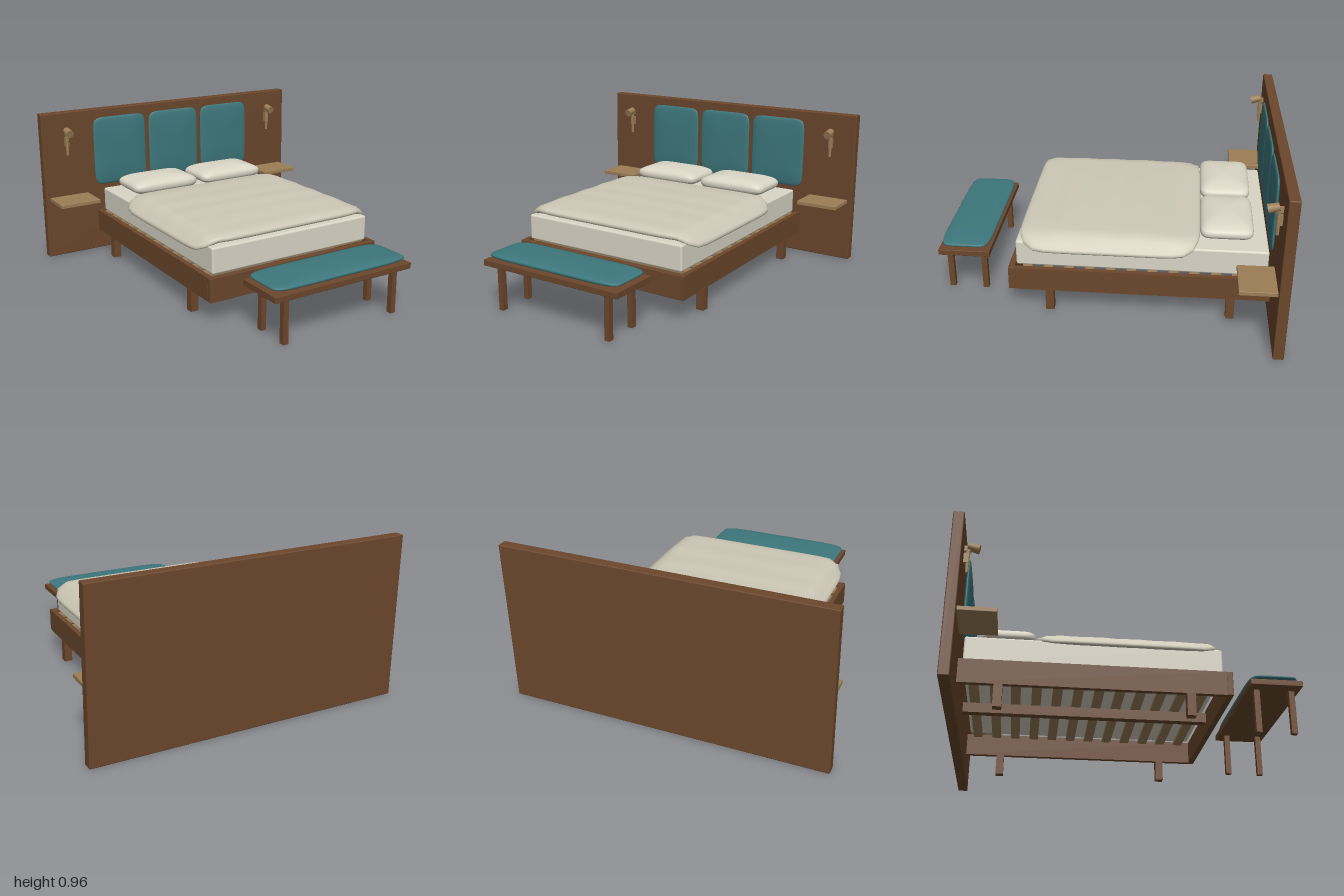
import * as THREE from 'three';
import { mergeVertices } from 'three/addons/utils/BufferGeometryUtils.js';
import { RoundedBoxGeometry } from 'three/addons/geometries/RoundedBoxGeometry.js';

const material = (name, color) => {
  const m = new THREE.MeshStandardMaterial({ color });
  m.name = name;
  return m;
};

// Soft lens-shaped pad: superellipse outline in x/z, domed along y
function padGeometry(a, b, h, corner, dome, deform) {
  const rows = 28, g = new THREE.SphereGeometry(1, 72, rows);
  g.deleteAttribute('uv');
  g.deleteAttribute('normal');
  const p = g.attributes.position;
  const v = new THREE.Vector3();
  for (let i = 0; i < p.count; i++) {
    v.fromBufferAttribute(p, i);
    const r = Math.min(1, Math.hypot(v.x, v.z));
    const t = Math.atan2(v.z, v.x), c = Math.cos(t), s = Math.sin(t);
    const R = r * Math.pow(Math.abs(c) ** corner + Math.abs(s) ** corner, -1 / corner);
    v.set(a * R * c, h * Math.sign(v.y) * Math.abs(v.y) ** dome, b * R * s);
    if (deform) deform(v);
    p.setXYZ(i, v.x, v.y, v.z);
  }
  const merged = mergeVertices(g, 1e-5);
  merged.computeVertexNormals();
  return merged;
}

export function createModel() {
  const walnut = material('walnut', 0x6b472c);
  const oak = material('oak', 0x9c7e56);
  const teal = material('teal fabric', 0x3d777c);
  const linen = material('cream linen', 0xdad6c6);
  const quilt = material('duvet linen', 0xcec9b7);

  const model = new THREE.Group();
  model.name = 'bedroomSet';
  const add = (name, geometry, mat, x, y, z, parent = model) => {
    const m = new THREE.Mesh(geometry, mat);
    m.name = name;
    m.position.set(x, y, z);
    parent.add(m);
    return m;
  };
  // Box given by its lower and upper limits on each axis
  const box = (name, mat, x0, x1, y0, y1, z0, z1, radius = 0, parent = model) => {
    const size = [x1 - x0, y1 - y0, z1 - z0];
    const g = radius ? new RoundedBoxGeometry(...size, 2, radius) : new THREE.BoxGeometry(...size);
    return add(name, g, mat, (x0 + x1) / 2, (y0 + y1) / 2, (z0 + z1) / 2, parent);
  };

  // Headboard with three upholstered panels
  box('headboard', walnut, -0.94, 0.94, 0, 0.96, -1, -0.94, 0.006);
  for (const x of [-0.405, 0, 0.405]) {
    add('headboardPanel', padGeometry(0.189, 0.228, 0.019, 9, 0.8), teal, x, 0.678, -0.925).rotation.x = Math.PI / 2;
  }

  // Bed frame
  const frame = new THREE.Group();
  frame.name = 'bedFrame';
  model.add(frame);
  box('footRail', walnut, -0.58, 0.58, 0.13, 0.27, 0.525, 0.56, 0.003, frame);
  box('centreBeam', walnut, -0.025, 0.025, 0.19, 0.25, -0.94, 0.525, 0, frame);
  for (let i = 0; i < 12; i++) {
    const z = -0.87 + i * 0.12;
    box('slat', oak, -0.55, 0.55, 0.25, 0.27, z - 0.028, z + 0.028, 0, frame);
  }
  for (const s of [-1, 1]) {
    const x = s * 0.565;
    box('sideRail', walnut, x - 0.015, x + 0.015, 0.13, 0.27, -0.94, 0.525, 0, frame);
    for (const z of [0.322, -0.72]) {
      box('bedLeg', walnut, s * 0.558 - 0.024, s * 0.558 + 0.024, 0, 0.132, z - 0.024, z + 0.024, 0, frame);
    }
  }

  // Mattress, pillows and draped duvet
  box('mattress', linen, -0.54, 0.54, 0.271, 0.426, -0.92, 0.517, 0.012);
  for (const s of [-1, 1]) {
    add('pillow', padGeometry(0.231, 0.153, 0.06, 8, 0.8), linen, s * 0.25, 0.485, -0.683);
  }
  const drape = (v) => {
    const along = THREE.MathUtils.smoothstep(Math.abs(v.x), 0.5, 0.6);
    v.y += 0.002 * Math.sin(v.z * 30) * (1 - along) - 0.052 * along;
  };
  add('duvet', padGeometry(0.597, 0.52, 0.04, 9, 0.6, drape), quilt, 0, 0.451, -0.015);

  // Floating bedside shelves and reading lamps
  for (const s of [-1, 1]) {
    box('bedsideShelf', oak, s * 0.778 - 0.132, s * 0.778 + 0.132, 0.38, 0.405, -0.94, -0.735, 0.003);
    const lamp = new THREE.Group();
    lamp.name = 'readingLamp';
    lamp.position.x = s * 0.78;
    model.add(lamp);
    add('lampStem', new THREE.CylinderGeometry(0.012, 0.009, 0.14, 12), oak, 0, 0.75, -0.918, lamp);
    box('lampMount', oak, -0.012, 0.012, 0.74, 0.8, -0.94, -0.912, 0, lamp);
    box('lampArm', oak, -0.009, 0.009, 0.815, 0.845, -0.94, -0.9, 0, lamp);
    add('lampHead', new THREE.CylinderGeometry(0.026, 0.022, 0.062, 16), oak, 0, 0.838, -0.888, lamp)
      .rotation.x = Math.PI / 2 + 0.25;
  }

  // Foot bench
  const bench = new THREE.Group();
  bench.name = 'bench';
  model.add(bench);
  box('benchTop', walnut, -0.46, 0.46, 0.26, 0.295, 0.695, 1, 0.003, bench);
  for (const x of [-0.37, 0.37]) for (const z of [0.747, 0.953]) {
    box('benchLeg', walnut, x - 0.016, x + 0.016, 0, 0.262, z - 0.017, z + 0.017, 0, bench);
  }
  add('benchCushion', padGeometry(0.448, 0.146, 0.026, 8, 0.75), teal, 0, 0.32, 0.848, bench);

  return model;
}
